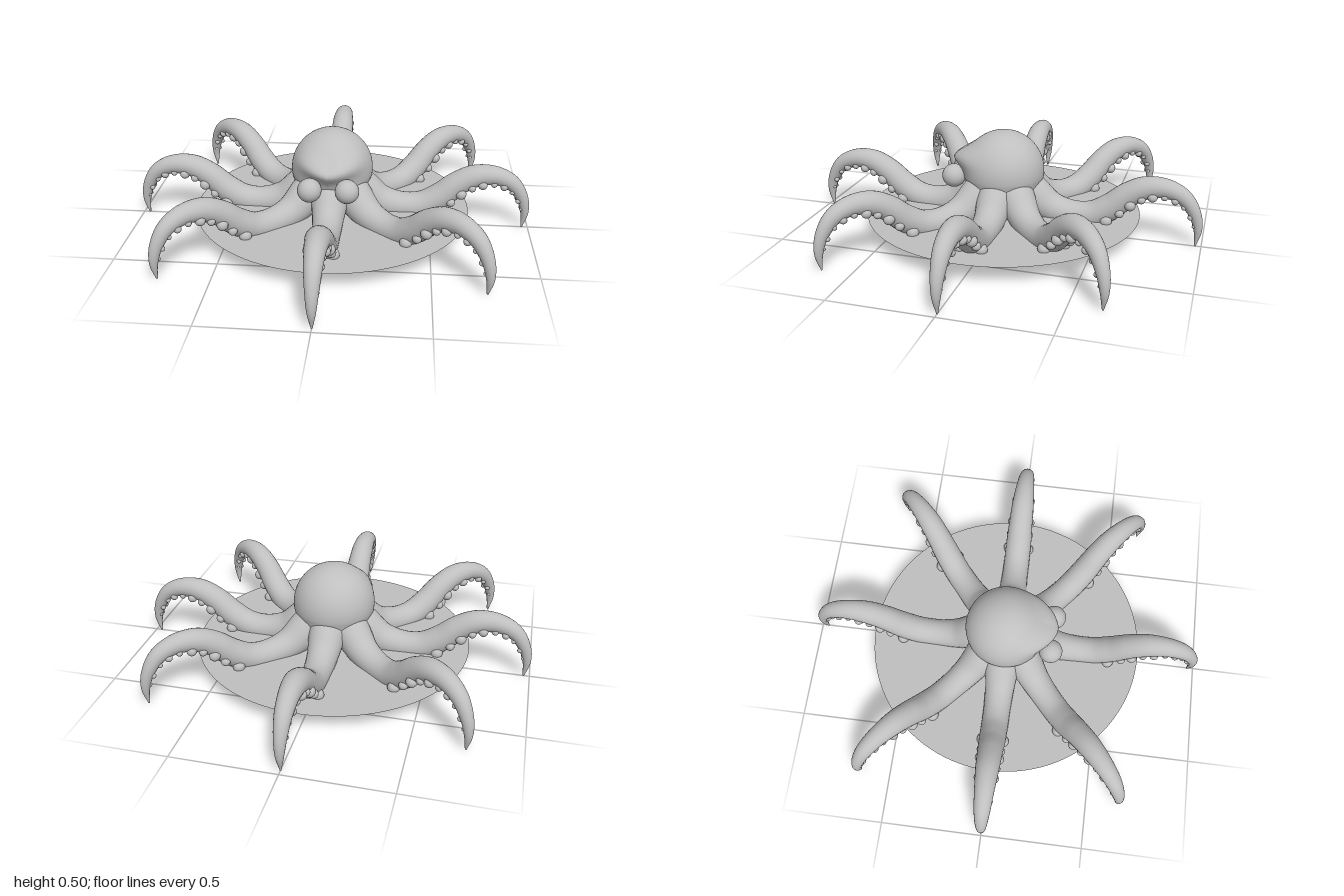
import * as THREE from 'three';
import { ParametricGeometry } from 'three/addons/geometries/ParametricGeometry.js';

const skin = new THREE.MeshStandardMaterial({ color: 0xbfbfbf, side: THREE.DoubleSide });
skin.name = 'grey';

// Arm centreline: distance from the middle, height, thickness
const ARM = [
  [0.06, 0.28, 0.09], [0.15, 0.2, 0.092], [0.25, 0.132, 0.077], [0.36, 0.107, 0.069],
  [0.46, 0.117, 0.068], [0.55, 0.168, 0.067], [0.63, 0.237, 0.062], [0.72, 0.284, 0.057],
  [0.82, 0.289, 0.048], [0.905, 0.25, 0.04], [0.96, 0.17, 0.03], [0.978, 0.09, 0.02], [0.97, 0.008, 0.004],
];
// The third coordinate of the curve carries the radius
const armCurve = new THREE.CatmullRomCurve3(ARM.map((p) => new THREE.Vector3(...p)));

// Point on the arm at curve parameter t and angle a around it (0 = upper side)
function armPoint(t, a, scale, target) {
  const c = armCurve.getPoint(t);
  const d = armCurve.getTangent(t);
  const len = Math.hypot(d.x, d.y);
  const r = c.z * scale;
  return target.set(
    c.x - (d.y / len) * r * Math.cos(a),
    c.y + (d.x / len) * r * Math.cos(a),
    -r * Math.sin(a)
  );
}

function mesh(name, geometry, parent) {
  const m = new THREE.Mesh(geometry, skin);
  m.name = name;
  parent.add(m);
  return m;
}

const gauss = (v, w) => Math.exp(-(v * v) / (w * w));

// Domed head with a narrower neck, a brow ridge pushed out of the front
function headGeometry() {
  const pts = [[0, 0.085], [0.1, 0.085], [0.15, 0.12], [0.175, 0.18], [0.19, 0.24]]
    .map((p) => new THREE.Vector2(...p));
  for (let i = 0; i <= 24; i++) {
    const a = -0.15 + (i / 24) * (Math.PI / 2 + 0.15);
    pts.push(new THREE.Vector2(Math.max(0, 0.204 * Math.cos(a)), 0.307 + 0.204 * Math.sin(a)));
  }
  const g = new THREE.LatheGeometry(pts, 72);
  const p = g.attributes.position;
  for (let i = 0; i < p.count; i++) {
    const x = p.getX(i), y = p.getY(i), z = p.getZ(i);
    if (z <= 0) continue;
    const front = THREE.MathUtils.smoothstep(z, 0.02, 0.14);
    const ridge = 0.365 + 0.16 * Math.abs(x);
    const brow = gauss(y - ridge, 0.05) * gauss(x, 0.17);
    p.setZ(i, z + 0.065 * front * brow);
  }
  g.computeVertexNormals();
  return g;
}

// One arm lying along +x, with two rows of suckers below
function buildArm(armGeometry, suckerGeometry) {
  const arm = new THREE.Group();
  arm.name = 'arm';
  mesh('tentacle', armGeometry, arm);
  const count = 12;
  for (let i = 0; i < count; i++) {
    const t = 0.27 + 0.62 * (i / (count - 1));
    const thick = armCurve.getPoint(t).z;
    const spread = THREE.MathUtils.lerp(0.95, 0.6, i / (count - 1));
    const size = thick * (i % 2 ? 0.34 : 0.44);
    for (const side of [-1, 1]) {
      const s = mesh('sucker', suckerGeometry, arm);
      armPoint(t, Math.PI + side * spread, 0.98, s.position);
      s.scale.setScalar(size);
    }
  }
  return arm;
}

export function createModel() {
  const model = new THREE.Group();
  model.name = 'octopus';

  mesh('head', headGeometry(), model);

  // Eyes
  const eye = new THREE.SphereGeometry(0.059, 28, 20);
  for (const side of [-1, 1]) {
    mesh(side > 0 ? 'leftEye' : 'rightEye', eye, model).position.set(side * 0.091, 0.283, 0.236);
  }

  // Eight arms, the diagonal ones a little closer to the x axis
  const armGeometry = new ParametricGeometry(
    (u, v, target) => armPoint(u, v * Math.PI * 2, 1, target), 64, 24);
  const sucker = new THREE.SphereGeometry(1, 14, 10);
  for (const degrees of [0, 41, 90, 139, 180, 221, 270, 319]) {
    const arm = buildArm(armGeometry, sucker);
    arm.rotation.y = THREE.MathUtils.degToRad(degrees);
    if (degrees % 90) arm.scale.set(1.02, 1, 1);
    model.add(arm);
  }

  // Thin round ground disc that the arms dip through
  const disc = mesh('disc', new THREE.CircleGeometry(0.692, 96), model);
  disc.rotation.x = -Math.PI / 2;
  disc.position.y = 0.1;

  return model;
}
